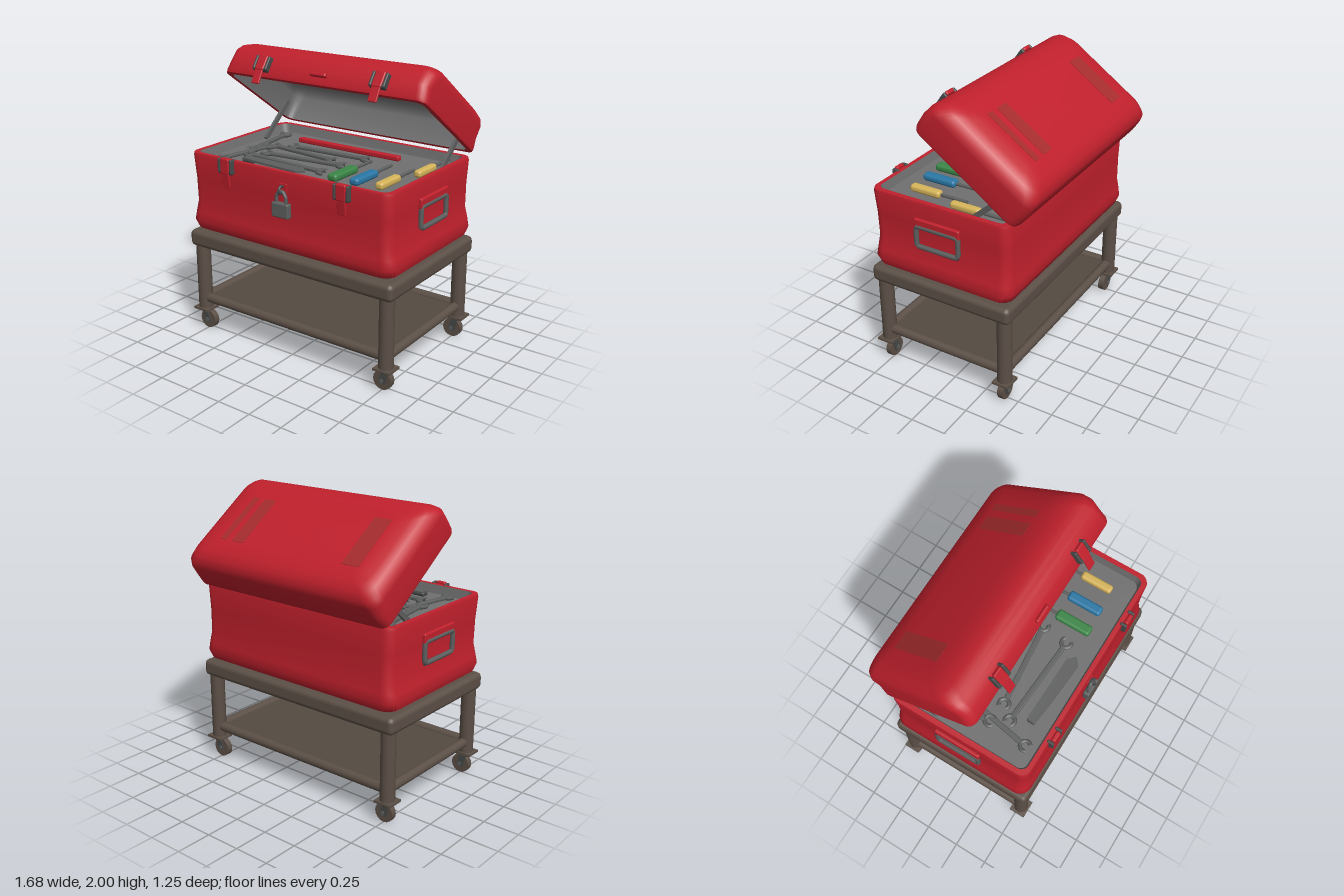
import * as THREE from 'three';
import { toCreasedNormals } from 'three/addons/utils/BufferGeometryUtils.js';
import { RoundedBoxGeometry } from 'three/addons/geometries/RoundedBoxGeometry.js';

const mat = (name, color) => Object.assign(new THREE.MeshStandardMaterial({ color }), { name });
const M = {
  red: mat('red paint', 0xc0202c), worn: mat('worn red paint', 0xa52c2e), brown: mat('rusty brown frame', 0x5c5047),
  shelf: mat('dark shelf', 0x544a41), lining: mat('grey lining', 0x707070), steel: mat('steel', 0x5e5f5f),
  dark: mat('dark metal', 0x484a4a), green: mat('green handle', 0x3c8648), blue: mat('blue handle', 0x2a78a6),
  yellow: mat('yellow handle', 0xd6b45a),
};

function add(parent, name, geo, material, x = 0, y = 0, z = 0) {
  const m = new THREE.Mesh(geo, material);
  m.name = name;
  m.position.set(x, y, z);
  parent.add(m);
  return m;
}
const box = (w, h, d) => new THREE.BoxGeometry(w, h, d);
const rbox = (w, h, d, r) => new RoundedBoxGeometry(w, h, d, 2, r);
const tube = (pts, r, closed = false) => new THREE.TubeGeometry(
  new THREE.CatmullRomCurve3(pts.map(p => new THREE.Vector3(...p)), closed, 'catmullrom', 0.15), 40, r, 8, closed);

// Skin through rounded rectangles [y, halfWidth, zBack, zFront, cornerRadius]
function skin(sections, capStart, capEnd) {
  const pos = [], idx = [], seg = 6, n = 4 * (seg + 1);
  for (const [y, hw, z0, z1, r] of sections) {
    const cz = (z0 + z1) / 2, hd = (z1 - z0) / 2;
    for (let c = 0; c < 4; c++) for (let i = 0; i <= seg; i++) {
      const a = (c + i / seg) * Math.PI / 2;
      const sx = c === 0 || c === 3 ? 1 : -1, sz = c < 2 ? 1 : -1;
      pos.push(sx * (hw - r) + r * Math.cos(a), y, cz + sz * (hd - r) + r * Math.sin(a));
    }
  }
  for (let k = 0; k < sections.length - 1; k++) for (let i = 0; i < n; i++) {
    const a = k * n + i, b = k * n + (i + 1) % n, c = b + n, d = a + n;
    idx.push(a, d, c, a, c, b);
  }
  const cap = (k, flip) => {
    const [y, , z0, z1] = sections[k], centre = pos.length / 3;
    pos.push(0, y, (z0 + z1) / 2);
    for (let i = 0; i < n; i++) {
      const p = k * n + i, q = k * n + (i + 1) % n;
      idx.push(centre, flip ? q : p, flip ? p : q);
    }
  };
  if (capStart) cap(0, false);
  if (capEnd) cap(sections.length - 1, true);
  const g = new THREE.BufferGeometry();
  g.setAttribute('position', new THREE.Float32BufferAttribute(pos, 3));
  g.setIndex(idx);
  return toCreasedNormals(g, 0.8);
}

function latch(parent, x, y, z) {
  const g = new THREE.Group();
  g.name = 'latch';
  g.position.set(x, y, z);
  for (const s of [-1, 1]) add(g, 'latchCheek', rbox(0.02, 0.1, 0.05, 0.008), M.dark, s * 0.05, 0.04, 0.01);
  add(g, 'latchBar', rbox(0.12, 0.03, 0.05, 0.01), M.dark, 0, 0, 0.005);
  add(g, 'latchTab', rbox(0.075, 0.11, 0.03, 0.01), M.red, 0, 0.04, 0.02);
  add(g, 'latchTip', rbox(0.065, 0.1, 0.015, 0.006), M.red, 0, -0.06, 0.018).rotation.x = 0.12;
  parent.add(g);
}

function trolley(root) {
  const g = new THREE.Group();
  g.name = 'trolley';
  const cz = 0.058;
  // top frame and panel
  for (const s of [-1, 1]) {
    add(g, 'topRailLong', rbox(1.68, 0.12, 0.11, 0.035), M.brown, 0, 0.7, cz + s * 0.477);
    add(g, 'topRailShort', rbox(0.11, 0.12, 1.06, 0.035), M.brown, s * 0.785, 0.7, cz);
  }
  add(g, 'topPanel', box(1.5, 0.04, 0.9), M.brown, 0, 0.725, cz);
  // lower shelf
  add(g, 'shelfPanel', box(1.52, 0.02, 0.92), M.shelf, 0, 0.235, cz);
  for (const s of [-1, 1]) {
    const a = add(g, 'shelfRailLong', new THREE.CylinderGeometry(0.034, 0.034, 1.5, 12), M.brown, 0, 0.24, cz + s * 0.467);
    a.rotation.z = Math.PI / 2;
    const b = add(g, 'shelfRailShort', new THREE.CylinderGeometry(0.034, 0.034, 0.9, 12), M.brown, s * 0.772, 0.24, cz);
    b.rotation.x = Math.PI / 2;
  }
  // legs and casters
  for (const sx of [-1, 1]) for (const sz of [-1, 1]) {
    const x = sx * 0.772, z = cz + sz * 0.467, wx = sx * 0.75, wz = z - sz * 0.012;
    add(g, 'leg', new THREE.CylinderGeometry(0.051, 0.051, 0.5, 16), M.brown, x, 0.41, z);
    add(g, 'footPlate', box(0.13, 0.016, 0.12), M.brown, x, 0.157, z);
    add(g, 'casterSwivel', new THREE.CylinderGeometry(0.04, 0.032, 0.03, 12), M.dark, x, 0.138, z);
    const wheel = add(g, 'wheel', new THREE.CylinderGeometry(0.068, 0.068, 0.042, 16), M.brown, wx, 0.068, wz);
    wheel.rotation.x = Math.PI / 2;
    const axle = add(g, 'axle', new THREE.CylinderGeometry(0.016, 0.016, 0.075, 8), M.steel, wx, 0.068, wz);
    axle.rotation.x = Math.PI / 2;
    for (const s of [-1, 1])
      add(g, 'fork', box(0.05, 0.1, 0.008), M.dark, (x + wx) / 2, 0.1, wz + s * 0.028).rotation.z = -sx * 0.25;
  }
  root.add(g);
}

function chest(root) {
  const g = new THREE.Group();
  g.name = 'chest';
  add(g, 'chestBody', skin([
    [0.768, 0.77, -0.42, 0.53, 0.07], [0.785, 0.81, -0.45, 0.56, 0.08], [0.84, 0.83, -0.472, 0.582, 0.09],
    [0.9, 0.818, -0.465, 0.572, 0.08], [0.98, 0.798, -0.455, 0.562, 0.07], [1.15, 0.8, -0.453, 0.566, 0.07],
    [1.31, 0.81, -0.455, 0.575, 0.07], [1.33, 0.805, -0.45, 0.57, 0.065], [1.33, 0.77, -0.415, 0.54, 0.05],
  ], true, false), M.red);
  add(g, 'chestLining', skin([[1.33, 0.77, -0.415, 0.54, 0.05], [1.27, 0.755, -0.4, 0.525, 0.05]], false, true), M.lining);
  for (const s of [-1, 1]) {
    latch(g, s * 0.47, 1.25, 0.572);
    // side handle
    add(g, 'handleMount', rbox(0.03, 0.07, 0.34, 0.01), M.red, s * 0.81, 1.18, 0.057);
    add(g, 'handleLoop', tube([[0, 1.15, -0.1], [0, 1.03, -0.1], [0, 1.015, -0.085], [0, 1.015, 0.2],
      [0, 1.03, 0.215], [0, 1.15, 0.215], [0, 1.16, 0.2], [0, 1.16, -0.085]], 0.017, true), M.steel, s * 0.815);
    // lid stay
    add(g, 'lidStay', box(0.02, 0.035, 0.36), M.steel, s * 0.735, 1.39, -0.28).rotation.x = 0.72;
  }
  // padlock and its staple
  add(g, 'padlockBody', rbox(0.135, 0.1, 0.045, 0.01), M.steel, 0, 1.08, 0.592);
  add(g, 'padlockShackle', tube([[-0.038, 1.12, 0], [-0.038, 1.17, 0], [-0.02, 1.2, 0], [0, 1.207, 0],
    [0.02, 1.2, 0], [0.038, 1.17, 0], [0.038, 1.12, 0]], 0.012), M.steel, 0, 0, 0.592);
  add(g, 'staple', new THREE.TorusGeometry(0.025, 0.009, 8, 16), M.dark, 0, 1.215, 0.59).rotation.y = Math.PI / 2;
  add(g, 'staplePlate', rbox(0.07, 0.06, 0.012, 0.004), M.red, 0, 1.225, 0.57);
  root.add(g);
}

function lid(root) {
  const g = new THREE.Group();
  g.name = 'lid';
  g.position.set(0, 1.338, -0.49);
  g.rotation.x = -35 * Math.PI / 180;
  add(g, 'lidShell', skin([
    [0, 0.77, 0.035, 0.815, 0.05], [0, 0.805, 0, 0.851, 0.06], [0.02, 0.81, -0.008, 0.86, 0.07],
    [0.1, 0.798, -0.015, 0.866, 0.07], [0.18, 0.808, -0.012, 0.852, 0.08], [0.225, 0.8, -0.003, 0.825, 0.09],
    [0.262, 0.765, 0.035, 0.775, 0.09], [0.288, 0.71, 0.085, 0.7, 0.08], [0.296, 0.6, 0.18, 0.6, 0.06],
  ], false, true), M.red);
  add(g, 'lidLining', skin([
    [0.262, 0.68, 0.11, 0.7, 0.07], [0.235, 0.74, 0.05, 0.78, 0.08], [0.18, 0.77, 0.02, 0.815, 0.08],
    [0, 0.77, 0.035, 0.815, 0.05],
  ], true, false), M.lining);
  add(g, 'lidPocket', box(1.3, 0.02, 0.36), M.dark, 0, 0.235, 0.58);
  add(g, 'lidPocketSeam', box(1.3, 0.012, 0.012), M.steel, 0, 0.222, 0.55);
  add(g, 'lidTool', rbox(0.15, 0.025, 0.03, 0.01), M.yellow, 0.31, 0.21, 0.62);
  add(g, 'lidToolShaft', box(0.22, 0.01, 0.012), M.steel, 0.13, 0.215, 0.61);
  // faded bands across the lid
  for (const [x, w] of [[-0.53, 0.13], [0.42, 0.1], [0.55, 0.05]])
    add(g, 'fadedBand', box(w, 0.006, 0.4), M.worn, x, 0.2955, 0.39);
  for (const s of [-1, 1]) latch(g, s * 0.47, 0.045, 0.868);
  add(g, 'lidGrip', rbox(0.13, 0.03, 0.035, 0.012), M.red, 0, 0.065, 0.872);
  root.add(g);
}

function tools(root) {
  const g = new THREE.Group();
  g.name = 'tools';
  const y = 1.3;
  // screwdrivers
  for (const [name, m, x, z, len, w] of [['greenScrewdriver', M.green, 0.27, 0.29, 0.26, 0.075],
    ['blueScrewdriver', M.blue, 0.43, 0.285, 0.25, 0.07], ['yellowScrewdriver', M.yellow, 0.605, 0.275, 0.23, 0.06],
    ['rearScrewdriver', M.yellow, 0.67, -0.07, 0.22, 0.055]]) {
    add(g, name, rbox(w, 0.05, len, 0.02), m, x, y, z);
    const shaft = add(g, name + 'Shaft', new THREE.CylinderGeometry(0.011, 0.011, 0.2, 8), M.steel, x, y, z - len / 2 - 0.1);
    shaft.rotation.x = Math.PI / 2;
  }
  add(g, 'redBar', rbox(0.85, 0.035, 0.045, 0.01), M.red, -0.03, y, -0.2);
  // open-ended wrenches
  for (const [x, z, len, turn] of [[-0.2, 0.3, 0.6, -0.06], [-0.15, 0.16, 0.55, 0.1], [-0.25, 0.04, 0.5, -0.1],
    [-0.1, -0.07, 0.55, 0.05], [-0.58, 0.25, 0.36, 1.4], [-0.62, -0.05, 0.4, 1.7]]) {
    const w = new THREE.Group();
    w.name = 'wrench';
    w.position.set(x, 1.29, z);
    w.rotation.y = turn;
    add(w, 'wrenchShank', rbox(len, 0.024, 0.036, 0.008), M.steel);
    for (const s of [-1, 1]) {
      const jaw = add(w, 'wrenchJaw', new THREE.TorusGeometry(0.034, 0.014, 6, 14, 4.6), M.steel, s * (len / 2 + 0.025));
      jaw.rotation.set(Math.PI / 2, 0, s > 0 ? 0.85 : 0.85 + Math.PI);
    }
    g.add(w);
  }
  // hand saw blade with grip
  const blade = new THREE.Shape([[-0.28, 0.05], [0.2, 0.04], [0.25, -0.01], [0.2, -0.05], [-0.1, -0.03], [-0.28, -0.01]]
    .map(p => new THREE.Vector2(...p)));
  const saw = add(g, 'saw', new THREE.ExtrudeGeometry(blade, { depth: 0.014, bevelEnabled: false }), M.steel, -0.18, 1.3, 0.42);
  saw.rotation.x = -Math.PI / 2;
  add(g, 'sawGrip', rbox(0.1, 0.03, 0.06, 0.012), M.dark, -0.42, 1.295, 0.4);
  root.add(g);
}

export function createModel() {
  const root = new THREE.Group();
  root.name = 'toolChestOnTrolley';
  trolley(root);
  chest(root);
  lid(root);
  tools(root);
  return root;
}
